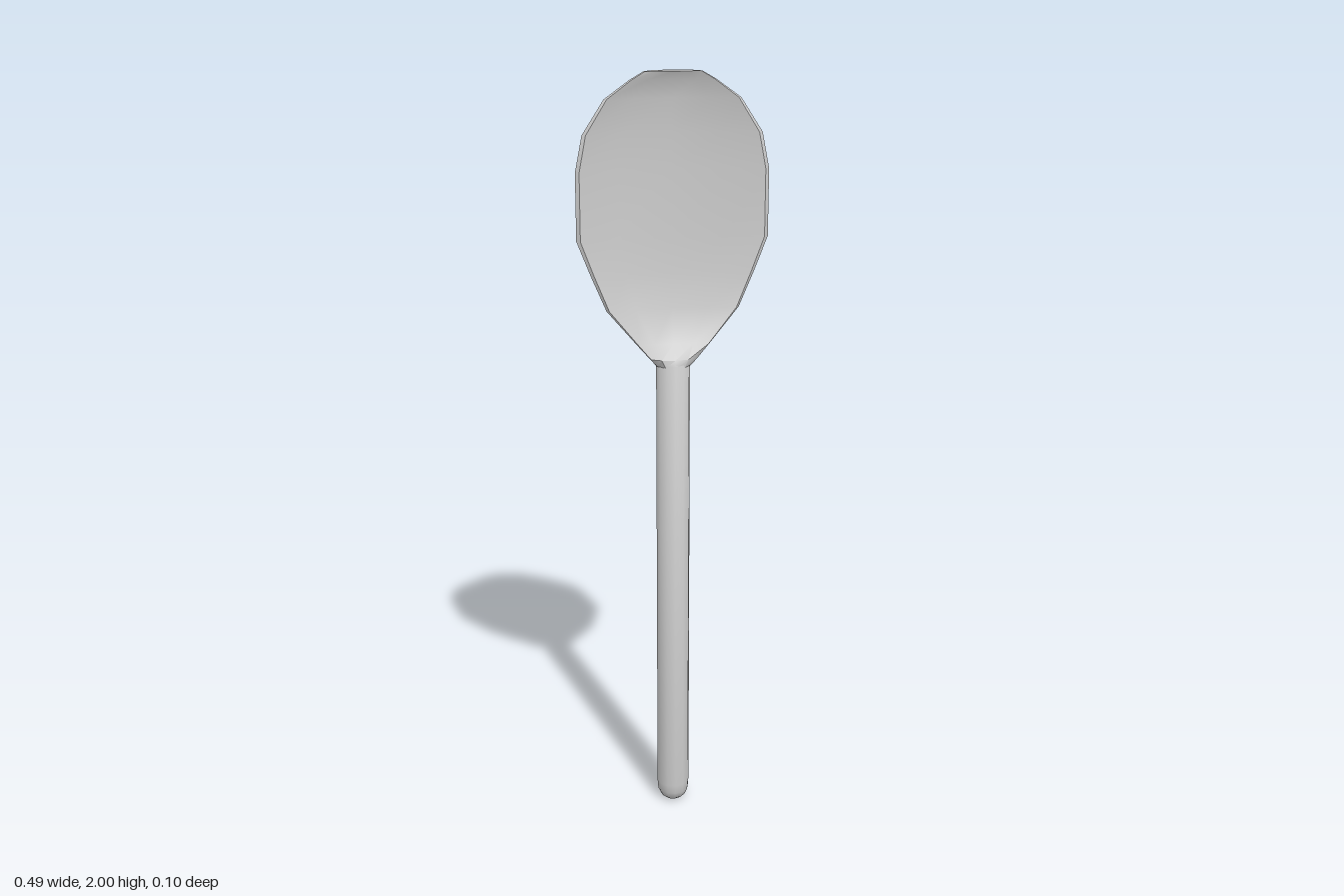
import * as THREE from 'three';
import { toCreasedNormals } from 'three/addons/utils/BufferGeometryUtils.js';

const material = new THREE.MeshStandardMaterial({ color: 0xcccccc });

// Skin a stack of closed cross-sections (rising in y) and cap both ends.
function loft(sections) {
  const n = sections[0].length;
  const last = (sections.length - 1) * n;
  const index = [];
  for (let i = 0; i < sections.length - 1; i++) {
    for (let j = 0; j < n; j++) {
      const a = i * n + j, b = i * n + (j + 1) % n;
      index.push(a, b, b + n, a, b + n, a + n);
    }
  }
  for (let j = 1; j < n - 1; j++) {
    index.push(0, j + 1, j, last, last + j, last + j + 1);
  }
  const geometry = new THREE.BufferGeometry();
  geometry.setAttribute('position', new THREE.Float32BufferAttribute(sections.flat(2), 3));
  geometry.setIndex(index);
  return toCreasedNormals(geometry, 0.7);
}

// One slice of the bowl: faceted convex back, thin rim, hollow front.
function bowlSection([y, w, rim, floor, back]) {
  const backSide = back + 0.014;
  const frontSide = rim + (floor - rim) * 0.72;
  return [
    [w, y, rim - 0.006], [w * 0.71, y, backSide], [w * 0.35, y, (back + backSide) / 2 - 0.001],
    [0, y, back],
    [-w * 0.35, y, (back + backSide) / 2 - 0.001], [-w * 0.71, y, backSide], [-w, y, rim - 0.006],
    [-w * 0.96, y, rim], [-w * 0.55, y, frontSide], [0, y, floor],
    [w * 0.55, y, frontSide], [w * 0.96, y, rim],
  ];
}

export function createModel() {
  const group = new THREE.Group();
  group.name = 'spoon';

  // Round handle with a softened lower end
  const profile = [[0, 0], [0.022, 0.002], [0.034, 0.012], [0.042, 0.03], [0.044, 0.055], [0.044, 1.27], [0.036, 1.285], [0, 1.285]]
    .map(([r, y]) => new THREE.Vector2(r, y));
  const handle = new THREE.Mesh(toCreasedNormals(new THREE.LatheGeometry(profile, 12), 0.7), material);
  handle.name = 'handle';
  handle.position.z = 0.002;
  group.add(handle);

  // Bowl slices: height, half width, rim z, hollow z, back z
  const rows = [
    [1.265, 0.045, 0.018, 0.046, -0.044],
    [1.285, 0.062, 0.023, 0.042, -0.048],
    [1.32, 0.093, 0.018, 0.008, -0.05],
    [1.41, 0.17, 0.006, -0.016, -0.051],
    [1.5, 0.208, 0.005, -0.025, -0.052],
    [1.59, 0.243, 0.005, -0.029, -0.052],
    [1.76, 0.243, 0.005, -0.029, -0.052],
    [1.85, 0.225, 0.005, -0.025, -0.051],
    [1.935, 0.17, 0.005, -0.017, -0.049],
    [1.98, 0.107, 0.005, -0.007, -0.044],
    [2.0, 0.072, 0.006, 0.005, -0.037],
  ];
  const bowl = new THREE.Mesh(loft(rows.map(bowlSection)), material);
  bowl.name = 'bowl';
  group.add(bowl);

  return group;
}
